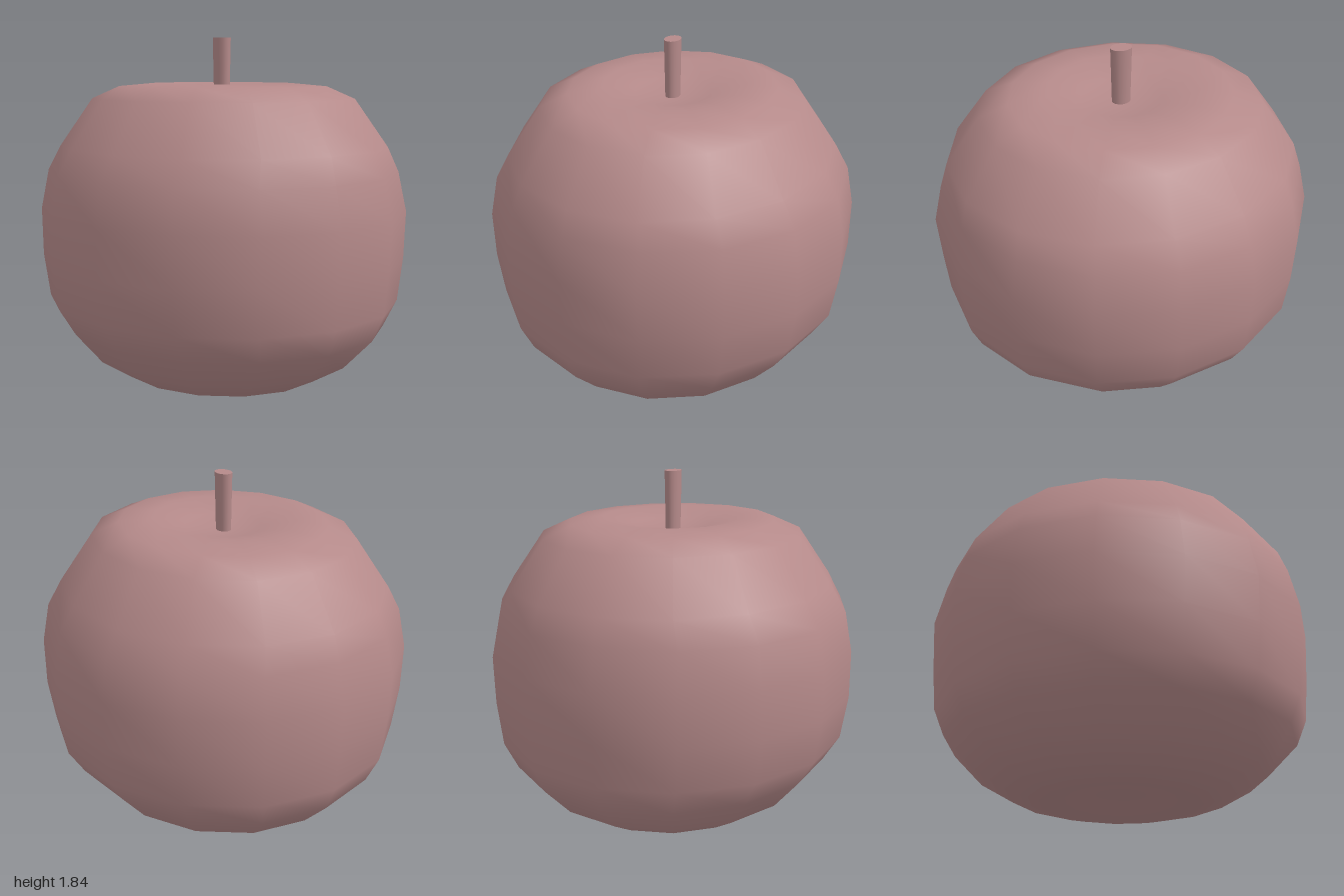
import * as THREE from 'three';
import { mergeVertices } from 'three/addons/utils/BufferGeometryUtils.js';

const SIDES = 15;
const CENTER_X = -0.01;

// Rings of the fruit from bottom dimple to top dimple: [height, radius in x, radius in z]
const RINGS = [
  [0.07, 0, 0], [0.04, 0.2, 0.21], [0, 0.375, 0.4], [0.045, 0.535, 0.575],
  [0.15, 0.7, 0.755], [0.315, 0.84, 0.915], [0.45, 0.925, 0.97],
  [0.68, 0.963, 0.99], [0.93, 0.963, 1.0055], [1.14, 0.925, 0.955],
  [1.27, 0.845, 0.915], [1.52, 0.675, 0.735], [1.585, 0.535, 0.58],
  [1.6, 0.375, 0.4], [1.56, 0.2, 0.21], [1.53, 0, 0],
];

// Lathe whose rings are ellipses, with one corner pointing to +x
function fruitGeometry() {
  const points = RINGS.map(([y, rx]) => new THREE.Vector2(rx, y));
  const lathe = new THREE.LatheGeometry(points, SIDES, Math.PI / 2);
  const pos = lathe.attributes.position;
  for (let i = 0; i < pos.count; i++) {
    const [, rx, rz] = RINGS[i % RINGS.length];
    if (rx > 0) pos.setZ(i, pos.getZ(i) * rz / rx);
  }
  // Weld the seam so the shading stays smooth all around
  lathe.deleteAttribute('uv');
  lathe.deleteAttribute('normal');
  const geometry = mergeVertices(lathe, 1e-4);
  geometry.computeVertexNormals();
  return geometry;
}

export function createModel() {
  const model = new THREE.Group();
  model.name = 'apple';
  const material = new THREE.MeshStandardMaterial({ color: 0xb58a8a });

  const fruit = new THREE.Mesh(fruitGeometry(), material);
  fruit.name = 'fruit';
  fruit.position.x = CENTER_X;
  model.add(fruit);

  // Oval stem, slightly wider at the top, rooted in the dimple
  const bottom = 1.5, top = 1.84;
  const stem = new THREE.Mesh(
    new THREE.CylinderGeometry(0.042, 0.036, top - bottom, 16), material);
  stem.name = 'stem';
  stem.scale.z = 1.33;
  stem.position.set(CENTER_X - 0.003, (bottom + top) / 2, 0);
  model.add(stem);

  return model;
}
